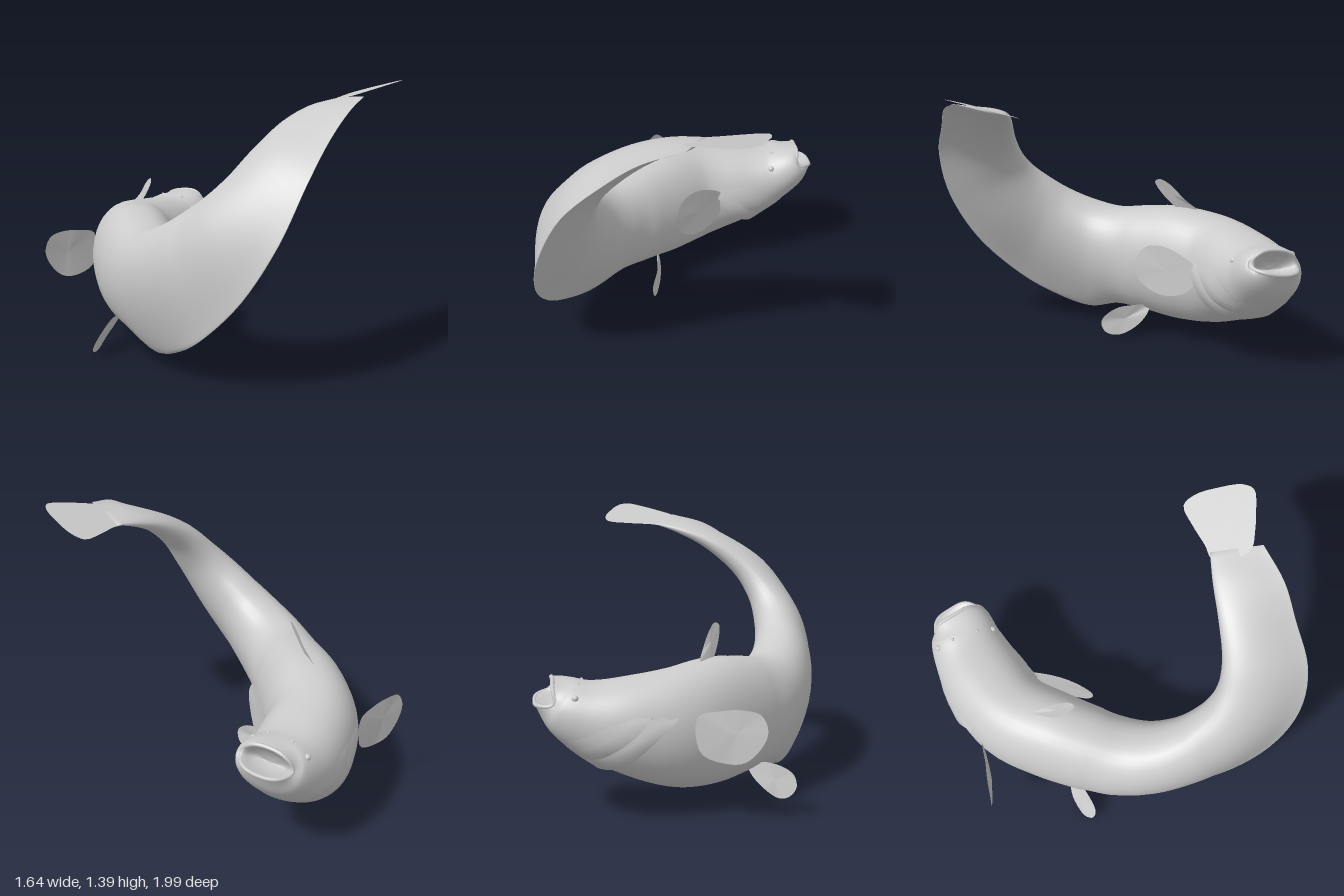
import * as THREE from 'three';

const V3 = (p) => new THREE.Vector3(...p);
const skin = new THREE.MeshStandardMaterial({ color: 0xcccccc, roughness: 0.7, side: THREE.DoubleSide });

// Stations from mouth to tail: back ridge point, belly ridge point, half width, belly thinning
const stations = [
  [[0.06, 0.655, -0.87], [0.13, 0.545, -0.925], 0.135, 0],
  [[0.00, 0.65, -0.80], [0.10, 0.44, -0.88], 0.168, 0],
  [[-0.07, 0.64, -0.74], [0.00, 0.325, -0.81], 0.195, 0],
  [[-0.20, 0.66, -0.60], [-0.17, 0.20, -0.65], 0.228, 0],
  [[-0.32, 0.69, -0.42], [-0.31, 0.12, -0.46], 0.23, 0],
  [[-0.36, 0.71, -0.20], [-0.36, 0.10, -0.24], 0.226, 0],
  [[-0.37, 0.69, 0.00], [-0.39, 0.12, 0.00], 0.215, 0],
  [[-0.37, 0.67, 0.17], [-0.40, 0.12, 0.15], 0.21, 0.2],
  [[-0.355, 0.70, 0.30], [-0.38, 0.08, 0.33], 0.205, 0.6],
  [[-0.295, 0.76, 0.42], [-0.33, 0.15, 0.56], 0.185, 0.8],
  [[-0.235, 0.82, 0.49], [-0.27, 0.25, 0.72], 0.165, 0.9],
  [[-0.16, 0.89, 0.55], [-0.14, 0.47, 0.91], 0.15, 0.92],
  [[-0.075, 0.97, 0.575], [0.00, 0.74, 1.00], 0.12, 0.92],
  [[0.03, 1.07, 0.56], [0.14, 1.00, 0.97], 0.095, 0.92],
  [[0.19, 1.19, 0.49], [0.29, 1.17, 0.85], 0.065, 0.92],
  [[0.34, 1.255, 0.42], [0.42, 1.28, 0.75], 0.04, 0.92],
  [[0.47, 1.29, 0.372], [0.555, 1.335, 0.61], 0.012, 0.9],
];
const last = stations.length - 1;
const backLine = new THREE.CatmullRomCurve3(stations.map((s) => V3(s[0])));
const bellyLine = new THREE.CatmullRomCurve3(stations.map((s) => V3(s[1])));
const sizeLine = new THREE.CatmullRomCurve3(stations.map((s) => new THREE.Vector3(s[2], s[3], 0)));

// Section frame at station number u
function frame(u) {
  const t = THREE.MathUtils.clamp(u / last, 0, 1);
  const d = backLine.getPoint(t), v = bellyLine.getPoint(t), size = sizeLine.getPoint(t);
  const along = backLine.getTangent(t).add(bellyLine.getTangent(t)).normalize();
  const up = d.clone().sub(v).multiplyScalar(0.5);
  const side = along.clone().cross(up).normalize();
  return { centre: d.add(v).multiplyScalar(0.5), up, side, along, w: size.x, k: size.y };
}

// Point on the skin: angle 0 is the back, PI the belly; scale moves it off the skin.
// The mouth corners are drawn back along the head.
function surf(u, a, scale = 1) {
  const f = frame(u), s = (1 - Math.cos(a)) / 2, sn = Math.sin(a);
  const h = f.w * Math.sign(sn) * Math.pow(Math.abs(sn), 0.85) * (1 - f.k * s * s);
  const corner = 0.05 * Math.pow(sn, 4) * Math.pow(Math.max(0, 1 - u), 2);
  return f.centre.clone().addScaledVector(f.up, Math.cos(a) * scale)
    .addScaledVector(f.side, h * scale).addScaledVector(f.along, corner);
}

// Smooth surface through rows of points
function loft(rows, closed) {
  const n = rows[0].length, pos = [], idx = [];
  rows.forEach((r) => r.forEach((p) => pos.push(p.x, p.y, p.z)));
  for (let i = 0; i < rows.length - 1; i++)
    for (let j = 0; j < (closed ? n : n - 1); j++) {
      const a = i * n + j, b = i * n + ((j + 1) % n);
      idx.push(a, b, a + n, b, b + n, a + n);
    }
  const g = new THREE.BufferGeometry();
  g.setAttribute('position', new THREE.Float32BufferAttribute(pos, 3));
  g.setIndex(idx);
  g.computeVertexNormals();
  return g;
}

// Thin fin filling a rounded outline
function finGeometry(points) {
  const edge = new THREE.CatmullRomCurve3(points.map(V3), true).getPoints(40).slice(0, 40);
  const mid = edge.reduce((m, p) => m.add(p), new THREE.Vector3()).divideScalar(40);
  return loft([edge, edge.map((p) => mid.clone().lerp(p, 0.5)), edge.map(() => mid)], true);
}

export function createModel() {
  const group = new THREE.Group();
  const add = (name, geometry) => {
    const m = new THREE.Mesh(geometry, skin);
    m.name = name;
    group.add(m);
    return m;
  };
  const around = 40, angles = Array.from({ length: around }, (_, j) => (j / around) * Math.PI * 2);

  // Body from lips to tail root, closed at the tail
  const rows = [];
  for (let i = 0; i <= 80; i++) rows.push(angles.map((a) => surf((i / 80) * last, a)));
  rows.push(angles.map(() => frame(last).centre.clone()));
  add('body', loft(rows, true));

  // Open mouth: rim turning inward to a shallow cavity
  const lip = frame(0);
  const mouth = [[0, 0], [0.06, -0.01], [0.16, 0], [0.25, 0.03], [0.5, 0.08], [1, 0.11]].map(([shrink, back]) =>
    angles.map((a) => surf(0, a).lerp(lip.centre, shrink).addScaledVector(lip.along, back)));
  add('mouthCavity', loft(mouth.reverse(), true));
  const lipLoop = new THREE.CatmullRomCurve3(angles.map((a) => surf(0, a, 0.95)), true);
  add('lips', new THREE.TubeGeometry(lipLoop, 60, 0.01, 8, true));

  // Gill covers: raised flaps sweeping from each cheek to the throat
  [[3.75, 0.085], [3.3, 0.05]].forEach(([reach, lift], n) => {
    const flap = [[-0.7, 0.995], [-0.3, 1 + lift * 0.6], [0, 1 + lift], [-0.02, 0.98]].map(([du, scale]) => {
      const row = [];
      for (let i = 0; i <= 48; i++) {
        const t = (i / 48) * 2 - 1;
        const fade = 1 - Math.pow(Math.abs(t), 6);
        const u = THREE.MathUtils.lerp(2.45 - n * 0.3, reach, Math.pow(Math.abs(t), 1.4)) + du;
        row.push(surf(u, Math.PI + t * 1.9, 1 + (scale - 1) * fade));
      }
      return row;
    });
    add(n ? 'innerGillCover' : 'gillCover', loft(flap, false));
  });

  // Eyes on the cheeks and nostrils near the top of the head
  for (const s of [-1, 1]) {
    const name = s < 0 ? 'left' : 'right';
    add(name + 'Eye', new THREE.SphereGeometry(0.016, 16, 10)).position.copy(surf(1.6, s * 0.95, 0.98));
    add(name + 'Nostril', new THREE.SphereGeometry(0.008, 10, 8)).position.copy(surf(1.4, s * 0.33, 0.99));
  }

  // Fins
  add('leftPectoralFin', finGeometry([
    [-0.075, 0.46, -0.42], [-0.08, 0.52, -0.34], [-0.09, 0.56, -0.22], [-0.10, 0.54, -0.12], [-0.10, 0.45, -0.06],
    [-0.10, 0.36, -0.09], [-0.09, 0.30, -0.20], [-0.08, 0.31, -0.32], [-0.075, 0.37, -0.40]]));
  add('rightPectoralFin', finGeometry([
    [-0.53, 0.50, -0.54], [-0.62, 0.53, -0.49], [-0.71, 0.54, -0.45], [-0.79, 0.52, -0.41], [-0.82, 0.45, -0.40],
    [-0.80, 0.38, -0.41], [-0.73, 0.30, -0.44], [-0.65, 0.285, -0.47], [-0.54, 0.33, -0.53]]));
  add('leftPelvicFin', finGeometry([
    [-0.26, 0.17, -0.08], [-0.20, 0.18, -0.02], [-0.13, 0.17, 0.06], [-0.10, 0.10, 0.13],
    [-0.105, 0.04, 0.11], [-0.14, 0.02, 0.05], [-0.19, 0.06, -0.03], [-0.24, 0.13, -0.08]]));
  add('rightPelvicFin', finGeometry([
    [-0.48, 0.17, -0.07], [-0.55, 0.17, 0.02], [-0.63, 0.11, 0.10], [-0.66, 0.05, 0.09],
    [-0.65, 0.01, 0.04], [-0.62, 0.005, 0.00], [-0.57, 0.05, -0.05], [-0.50, 0.13, -0.08]]));
  add('dorsalFin', finGeometry([
    [-0.365, 0.70, -0.31], [-0.335, 0.76, -0.25], [-0.315, 0.84, -0.17], [-0.305, 0.865, -0.12],
    [-0.31, 0.85, -0.09], [-0.325, 0.80, -0.11], [-0.355, 0.71, -0.19], [-0.37, 0.68, -0.25]]));
  const tail = [[0.44, 0.39], [0.50, 0.34], [0.58, 0.26], [0.67, 0.19], [0.73, 0.23], [0.785, 0.34], [0.815, 0.44],
    [0.80, 0.50], [0.70, 0.535], [0.60, 0.555], [0.52, 0.56], [0.46, 0.50]];
  add('tailFin', finGeometry(tail.map(([x, z]) => [x, 1.29 + 0.25 * (x - 0.47) + 0.17 * (z - 0.37), z])));

  return group;
}
